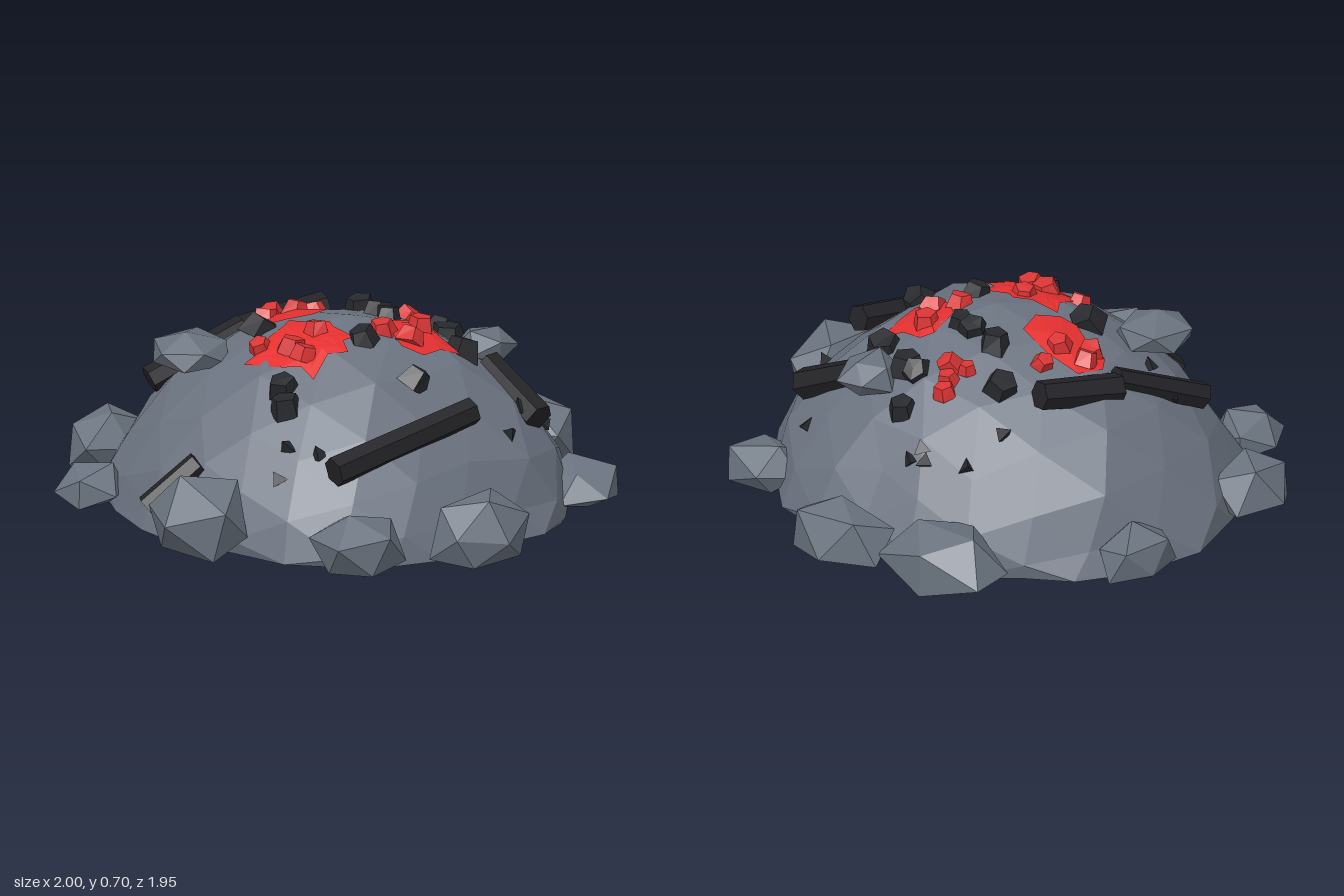
import * as THREE from 'three';

const mat = (name, color) => {
  const m = new THREE.MeshStandardMaterial({ color, flatShading: true });
  m.name = name;
  return m;
};

// repeatable noise tied to a position, so shared corners stay joined
const noise = (x, y, z, seed) => {
  const q = (v) => Math.round(v * 1000) / 1000 + 0;
  const s = Math.sin(q(x) * 127.1 + q(y) * 311.7 + q(z) * 74.7 + seed * 19.19) * 43758.5453;
  return (s - Math.floor(s)) * 2 - 1;
};

function reshape(geo, rule) {
  const p = geo.attributes.position;
  const v = new THREE.Vector3();
  for (let i = 0; i < p.count; i++) {
    v.fromBufferAttribute(p, i);
    rule(v);
    p.setXYZ(i, v.x, v.y, v.z);
  }
  geo.computeVertexNormals();
  return geo;
}

// mound footprint radius, every 22.5 degrees from +x towards +z
const FOOT = [0.74, 0.8, 0.81, 0.77, 0.79, 0.82, 0.87, 0.9, 0.92, 0.88, 0.81, 0.79, 0.76, 0.79, 0.8, 0.82];
function footRadius(x, z) {
  const t = ((Math.atan2(z, x) / (Math.PI * 2) + 1) % 1) * 16;
  const i = Math.floor(t) % 16;
  return THREE.MathUtils.lerp(FOOT[i], FOOT[(i + 1) % 16], t - Math.floor(t));
}

export function createModel() {
  const group = new THREE.Group();
  const ash = mat('ash grey', 0x6b7380);
  const stone = mat('stone grey', 0x69727e);
  const coal = mat('coal black', 0x27282d);
  const char = mat('charred wood', 0x232327);
  const ember = mat('ember red', 0xd83434);
  const glow = mat('glowing red', 0xe43030);
  glow.side = THREE.DoubleSide;

  const add = (name, geo, material) => {
    const m = new THREE.Mesh(geo, material);
    m.name = name;
    group.add(m);
    return m;
  };

  // ash mound: a squashed half ball with a flat underside
  const mound = add('ashMound', reshape(new THREE.IcosahedronGeometry(1, 3), (v) => {
    const { x, y, z } = v;
    const r = footRadius(x, z) * (1 + 0.02 * noise(x, y, z, 1));
    const h = y > 0.02 ? 0.672 * Math.pow(y, 1.36) + 0.014 * noise(x, y, z, 2) : 0;
    v.set(x * r, Math.max(0, h), z * r);
  }), ash);
  mound.updateMatrixWorld(true);

  // surface height of the mound
  const ray = new THREE.Raycaster();
  const down = new THREE.Vector3(0, -1, 0);
  const surface = (x, z) => {
    ray.set(new THREE.Vector3(x, 2, z), down);
    const hit = ray.intersectObject(mound)[0];
    return hit ? hit.point.y : 0;
  };

  // boulders: rough icosahedra, cut flat at the ground [x, y, z, width, height, depth]
  const boulders = [
    [-0.38, 0.08, -0.75, 0.46, 0.28, 0.3], [0.03, 0.08, -0.83, 0.4, 0.28, 0.3],
    [0.59, 0.06, -0.56, 0.33, 0.22, 0.29], [0.84, 0.085, 0.11, 0.32, 0.31, 0.4],
    [0.64, 0.075, 0.54, 0.33, 0.27, 0.3], [0.1, 0.12, 0.81, 0.41, 0.33, 0.32],
    [-0.56, 0.06, 0.72, 0.27, 0.19, 0.24], [-0.86, 0.075, 0.38, 0.28, 0.27, 0.32],
    [-0.83, 0.07, -0.25, 0.23, 0.23, 0.3],
    [-0.39, 0.545, 0.4, 0.26, 0.14, 0.28], [0.2, 0.515, -0.46, 0.2, 0.15, 0.22],
  ];
  boulders.forEach(([x, y, z, w, h, d], i) => {
    const turn = new THREE.Euler(i * 1.3, i * 2.1, i * 0.7);
    const geo = reshape(new THREE.IcosahedronGeometry(1, 0), (v) => {
      const k = 1 + 0.13 * noise(v.x, v.y, v.z, i + 5);
      v.multiplyScalar(k).applyEuler(turn);
    });
    geo.computeBoundingBox();
    const size = geo.boundingBox.getSize(new THREE.Vector3());
    const mid = geo.boundingBox.getCenter(new THREE.Vector3());
    reshape(geo, (v) => {
      v.sub(mid).divide(size);
      v.set(x + v.x * w, Math.max(0.01, y + v.y * h), z + v.z * d);
    });
    add('boulder', geo, stone);
  });

  // coal and ember lumps: uneven five-sided chunks on the mound [x, z, radius]
  const lumps = (name, list, material, lift) => list.forEach(([x, z, r], i) => {
    const geo = reshape(new THREE.CylinderGeometry(r * 0.72, r, r * 1.1, 5), (v) => {
      v.multiplyScalar(1 + 0.1 * noise(v.x, v.y, v.z, i));
    });
    const m = add(name, geo, material);
    m.position.set(x, surface(x, z) + lift, z);
    m.rotation.set(z * 0.7 + 0.3 * Math.sin(i * 2.3), i * 1.7, -x * 0.7 + 0.3 * Math.cos(i * 1.9));
  });
  lumps('coalLump', [
    [-0.26, -0.29, 0.068], [-0.13, -0.17, 0.062], [-0.02, -0.16, 0.058], [0.04, -0.15, 0.05],
    [0.02, -0.5, 0.055], [0.05, -0.39, 0.06], [0.11, -0.37, 0.065], [0.26, -0.31, 0.07],
    [0.39, 0.03, 0.063], [0.15, 0.07, 0.058], [-0.24, 0.2, 0.068], [0.11, 0.41, 0.062], [0.17, 0.45, 0.065],
  ], coal, 0.012);
  lumps('emberLump', [
    [-0.31, -0.12, 0.044], [-0.4, 0.01, 0.048], [-0.3, -0.02, 0.053], [-0.38, 0.06, 0.053],
    [0.16, -0.2, 0.053], [0.22, -0.1, 0.055], [0.14, -0.04, 0.052], [0, 0.15, 0.048],
    [0, 0.27, 0.055], [-0.12, 0.31, 0.047], [0.08, 0.28, 0.05],
    [-0.1, -0.41, 0.045], [-0.08, -0.37, 0.045], [-0.05, -0.33, 0.052], [-0.12, -0.31, 0.035],
  ], ember, 0.015);

  // glowing patches draped over the mound: centre, then ragged rim points [x, z]
  const patches = [
    [[-0.29, 0.03], [[-0.42, -0.06], [-0.29, -0.075], [-0.16, -0.05], [-0.135, 0.05], [-0.19, 0.12],
      [-0.25, 0.14], [-0.33, 0.1], [-0.42, 0.09], [-0.46, 0.03]]],
    [[0.2, -0.15], [[0.09, -0.24], [0.13, -0.27], [0.22, -0.25], [0.31, -0.26], [0.3, -0.17],
      [0.31, -0.08], [0.25, -0.03], [0.18, -0.05], [0.1, -0.12]]],
    [[0.01, 0.22], [[-0.17, 0.13], [-0.06, 0.12], [-0.01, 0.08], [0.03, 0.1], [0.13, 0.09], [0.13, 0.14],
      [0.19, 0.17], [0.15, 0.23], [0.185, 0.33], [0.11, 0.32], [0.05, 0.36], [-0.12, 0.39],
      [-0.1, 0.32], [-0.13, 0.26], [-0.13, 0.19]]],
  ];
  patches.forEach(([[cx, cz], rim]) => {
    const n = rim.length;
    const rings = 4;
    const pos = [];
    const idx = [];
    for (let j = 0; j <= rings; j++) for (let i = 0; i < n; i++) {
      const px = THREE.MathUtils.lerp(cx, rim[i][0], j / rings);
      const pz = THREE.MathUtils.lerp(cz, rim[i][1], j / rings);
      pos.push(px, surface(px, pz) + 0.009, pz);
      if (j === rings) continue;
      const p = j * n + i;
      const q = j * n + ((i + 1) % n);
      idx.push(p, q + n, p + n);
      if (j > 0) idx.push(p, q, q + n);
    }
    const geo = new THREE.BufferGeometry();
    geo.setAttribute('position', new THREE.Float32BufferAttribute(pos, 3));
    geo.setIndex(idx);
    geo.computeVertexNormals();
    add('emberPatch', geo, glow);
  });

  // charred logs: tapered six-sided sticks between two points
  const logs = [
    [[-0.41, 0.56, -0.26], [-0.52, 0.5, 0.04], 0.06],
    [[-0.5, 0.53, 0.05], [-0.63, 0.37, 0.38], 0.05],
    [[0.58, 0.45, -0.07], [0.495, 0.325, 0.51], 0.056],
    [[0.28, 0.48, -0.41], [0.55, 0.34, -0.41], 0.058],
    [[-0.03, 0.27, 0.68], [-0.13, 0.11, 0.83], 0.052],
  ];
  logs.forEach(([a, b, r]) => {
    const from = new THREE.Vector3(...a);
    const to = new THREE.Vector3(...b);
    const axis = to.clone().sub(from);
    const log = add('charredLog', new THREE.CylinderGeometry(r, r * 0.9, axis.length(), 6), char);
    log.position.copy(from).lerp(to, 0.5);
    log.quaternion.setFromUnitVectors(new THREE.Vector3(0, 1, 0), axis.normalize());
  });

  // small charcoal shards scattered on the slopes
  const shards = [
    [-0.31, -0.54], [-0.16, -0.59], [-0.1, -0.6], [-0.36, -0.4], [0.43, -0.54], [0.5, -0.37], [0.6, -0.23],
    [0.27, 0.53], [0.38, 0.48], [0.3, 0.6], [-0.6, 0.25], [-0.48, 0.27], [-0.13, -0.57],
  ];
  shards.forEach(([x, z], i) => {
    const s = add('charcoalShard', new THREE.TetrahedronGeometry(0.038, 0), coal);
    s.position.set(x, surface(x, z) + 0.01, z);
    s.rotation.set(i * 1.1, i * 2.3, i * 0.6);
  });

  return group;
}
